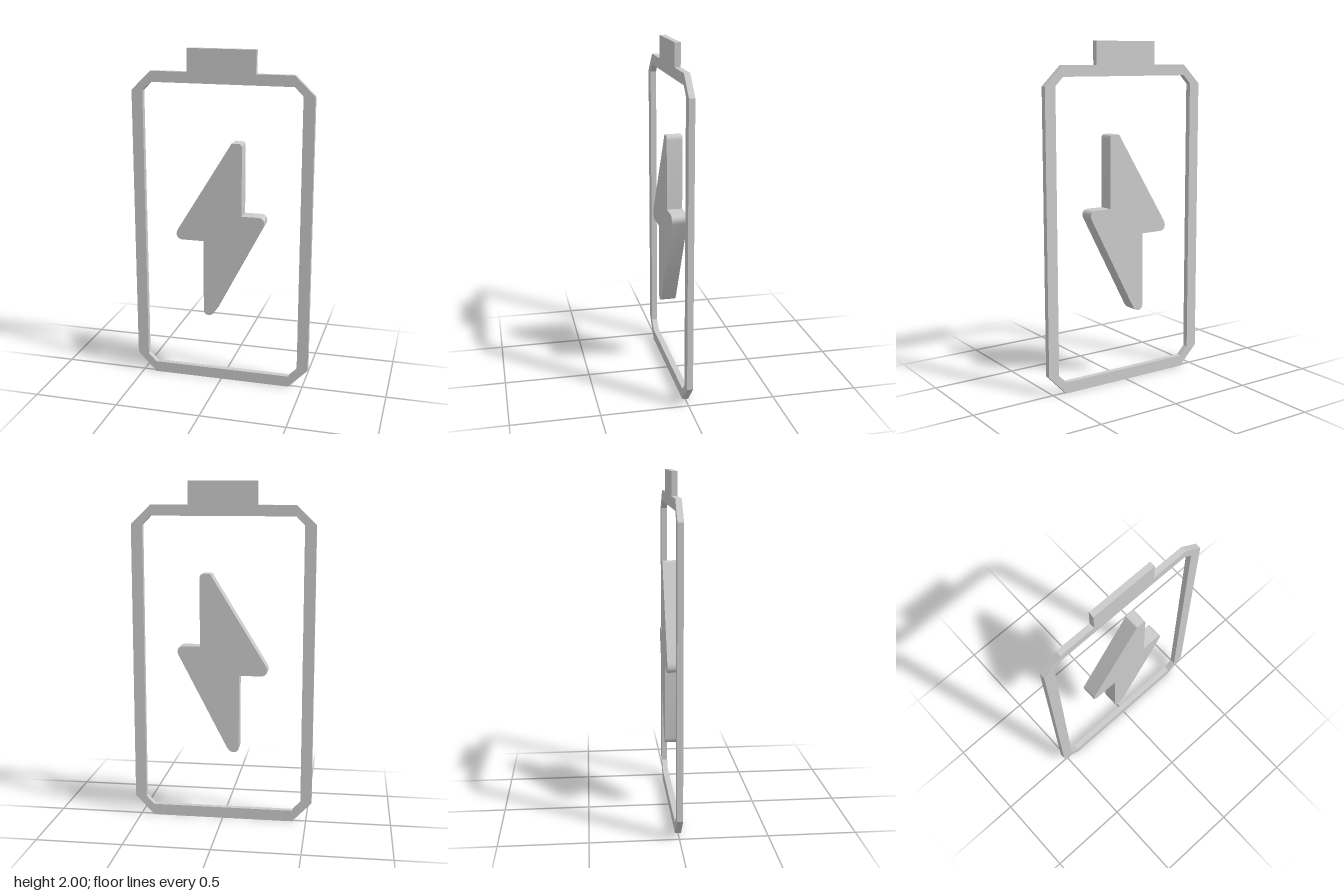
import * as THREE from 'three';
import { toCreasedNormals } from 'three/addons/utils/BufferGeometryUtils.js';

const material = new THREE.MeshStandardMaterial({ color: 0xcccccc });

// Extrude a shape to a slab centred on z = 0
function slab(name, shape, depth, crease) {
  let geometry = new THREE.ExtrudeGeometry(shape, { depth, bevelEnabled: false, curveSegments: 6 });
  geometry.translate(0, 0, -depth / 2);
  geometry = toCreasedNormals(geometry, crease);
  const mesh = new THREE.Mesh(geometry, material);
  mesh.name = name;
  return mesh;
}

// Closed left-right symmetric outline from its right half, listed bottom to top
function mirrored(half) {
  const left = half.map(([x, y]) => [-x, y]).reverse();
  return [...half, ...left].map(([x, y]) => new THREE.Vector2(x, y));
}

export function createModel() {
  const group = new THREE.Group();
  group.name = 'batteryIcon';

  // Chamfered case with the terminal on top, and its open window
  const caseShape = new THREE.Shape(mirrored([
    [0.418, 0], [0.533, 0.118], [0.533, 1.755], [0.418, 1.867], [0.2, 1.867], [0.2, 2],
  ]));
  caseShape.holes.push(new THREE.Path(mirrored([
    [0.418, 0.066], [0.467, 0.116], [0.467, 1.754], [0.418, 1.804],
  ])));
  group.add(slab('caseAndTerminal', caseShape, 0.034, 0.3));

  // Lightning bolt with rounded tips and sharp inner corners
  const bolt = new THREE.Shape();
  bolt.moveTo(0.069, 1.477);
  bolt.lineTo(0.112, 1.477);
  bolt.quadraticCurveTo(0.129, 1.475, 0.129, 1.45);
  bolt.lineTo(0.129, 1.053);
  bolt.lineTo(0.235, 1.053);
  bolt.bezierCurveTo(0.26, 1.05, 0.268, 1.025, 0.257, 1.003);
  bolt.lineTo(-0.03, 0.452);
  bolt.bezierCurveTo(-0.05, 0.412, -0.1, 0.415, -0.1, 0.455);
  bolt.lineTo(-0.1, 0.887);
  bolt.lineTo(-0.232, 0.887);
  bolt.bezierCurveTo(-0.262, 0.89, -0.275, 0.918, -0.255, 0.95);
  bolt.lineTo(0.058, 1.46);
  bolt.quadraticCurveTo(0.063, 1.47, 0.069, 1.477);
  group.add(slab('lightningBolt', bolt, 0.09, 0.6));

  return group;
}
